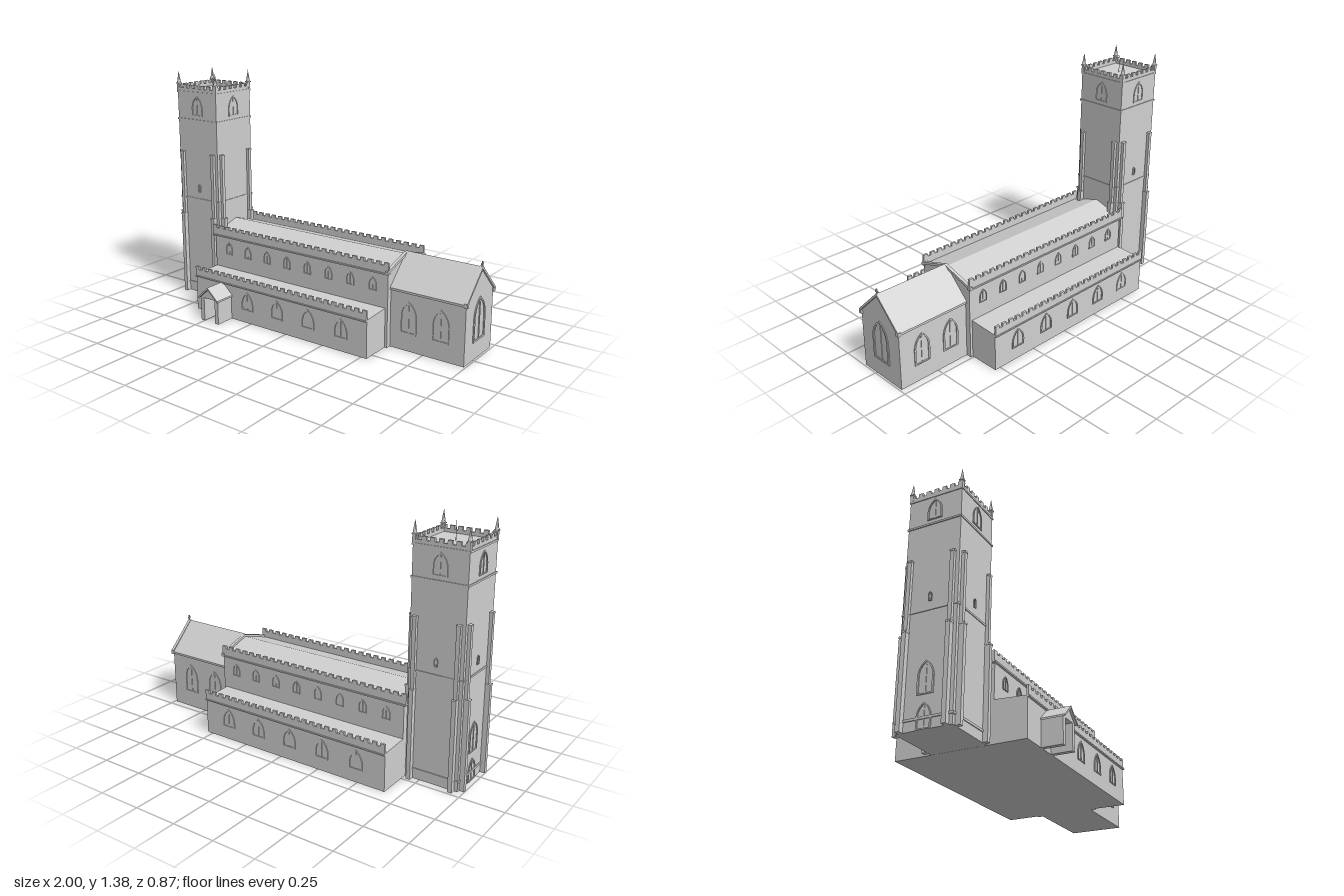
import * as THREE from 'three';

const stone = new THREE.MeshStandardMaterial({ color: 0xd0d0d0 });
stone.name = 'pale stone';

const AXIS = -0.057; // z of the centre line of tower, nave and chancel
const TX = -0.818;   // x of the tower centre

export function createModel() {
  const root = new THREE.Group();
  root.name = 'church';

  function add(name, geo, parent = root) {
    const m = new THREE.Mesh(geo, stone);
    m.name = name;
    parent.add(m);
    return m;
  }
  function box(name, x0, x1, y0, y1, z0, z1, parent = root) {
    const m = add(name, new THREE.BoxGeometry(x1 - x0, y1 - y0, z1 - z0), parent);
    m.position.set((x0 + x1) / 2, (y0 + y1) / 2, (z0 + z1) / 2);
    return m;
  }
  const outline = pts => new THREE.Shape(pts.map(p => new THREE.Vector2(p[0], p[1])));
  const extrude = (shape, depth) =>
    new THREE.ExtrudeGeometry(shape, { depth, bevelEnabled: false, curveSegments: 6 });
  // prism running along x, profile given as [z, y]
  function prismX(name, pts, x0, x1, parent = root) {
    const g = extrude(outline(pts.map(([z, y]) => [-z, y])), x1 - x0);
    g.rotateY(Math.PI / 2);
    g.translate(x0, 0, 0);
    return add(name, g, parent);
  }
  // prism running along z, profile given as [x, y]
  function prismZ(name, pts, z0, z1, parent = root) {
    const g = extrude(outline(pts), z1 - z0);
    g.translate(0, 0, z0);
    return add(name, g, parent);
  }

  // pointed arch outline, sill at y = 0
  function arch(C, w, h) {
    const s = new C(), a = w / 2, sp = h - w * 0.85;
    s.moveTo(-a, 0);
    s.lineTo(a, 0);
    s.lineTo(a, sp);
    s.quadraticCurveTo(a * 0.9, h - w * 0.3, 0, h);
    s.quadraticCurveTo(-a * 0.9, h - w * 0.3, -a, sp);
    return s;
  }
  // window frame with a mullion, standing slightly proud of the wall
  function windowFrame(name, x, y, z, turn, w, h) {
    const g = new THREE.Group();
    g.name = name;
    const s = arch(THREE.Shape, w, h);
    const hole = arch(THREE.Path, w * 0.8, h - w * 0.17);
    s.holes.push(new THREE.Path(hole.getPoints(6).map(p => p.add(new THREE.Vector2(0, w * 0.07)))));
    add('frame', extrude(s, 0.005), g);
    box('mullion', -w * 0.04, w * 0.04, w * 0.05, h * 0.88, 0, 0.003, g);
    g.position.set(x, y, z);
    g.rotation.y = turn;
    root.add(g);
  }
  const south = 0, north = Math.PI, east = Math.PI / 2, west = -Math.PI / 2;

  // battlemented wall along x with merlons
  function battlement(name, x0, x1, y0, yGap, yTop, z0, z1, count, parent = root) {
    const g = new THREE.Group();
    g.name = name;
    box('parapet', x0, x1, y0, yGap, z0, z1, g);
    const step = (x1 - x0) / (count - 0.45);
    for (let i = 0; i < count; i++) {
      const x = x0 + i * step;
      box('merlon', x, x + step * 0.55, yGap, yTop, z0, z1, g);
    }
    parent.add(g);
    return g;
  }

  // ---- tower
  const H = 0.152;
  box('towerShaft', TX - H, TX + H, 0, 1.255, AXIS - H, AXIS + H);
  for (const [y, o, t] of [[0.05, 0.005, 0.012], [0.6, 0.004, 0.01], [1.085, 0.005, 0.01], [1.25, 0.004, 0.01]])
    box('stringCourse', TX - H - o, TX + H + o, y, y + t, AXIS - H - o, AXIS + H + o);
  for (let k = 0; k < 4; k++) {
    const side = new THREE.Group();
    side.name = 'towerSide';
    side.position.set(TX, 0, AXIS);
    side.rotation.y = k * Math.PI / 2;
    root.add(side);
    battlement('towerBattlement', -H, H, 1.255, 1.278, 1.297, H - 0.014, H, 7, side);
    // paired stepped buttresses
    for (const s of [-1, 1]) {
      const b = s * 0.121;
      box('buttressLower', b - 0.012, b + 0.012, 0, 0.5, H - 0.01, H + 0.028, side);
      box('buttressUpper', b - 0.011, b + 0.011, 0.5, 0.885, H - 0.01, H + 0.018, side);
      box('buttressStep', b - 0.014, b + 0.014, 0.498, 0.508, H - 0.01, H + 0.03, side);
      box('buttressCap', b - 0.013, b + 0.013, 0.885, 0.895, H - 0.01, H + 0.02, side);
    }
    // corner pinnacle with knob and spike
    const p = new THREE.Group();
    p.name = 'pinnacle';
    p.position.set(H - 0.006, 0, H - 0.006);
    side.add(p);
    box('pinnacleBase', -0.009, 0.009, 1.255, 1.305, -0.009, 0.009, p);
    box('pinnacleCollar', -0.012, 0.012, 1.3, 1.306, -0.012, 0.012, p);
    const spike = add('pinnacleSpike', new THREE.ConeGeometry(0.012, 0.07, 4), p);
    spike.rotation.y = Math.PI / 4;
    spike.position.y = 1.34;
    // belfry openings
    const a = k * Math.PI / 2;
    windowFrame('belfryWindow', TX + Math.sin(a) * H, 1.115, AXIS + Math.cos(a) * H, a, 0.085, 0.12);
    if (k !== 1)
      windowFrame('towerSlit', TX + Math.sin(a) * H, 0.65, AXIS + Math.cos(a) * H, a, 0.02, 0.05);
  }
  windowFrame('westWindow', TX - H, 0.17, AXIS, west, 0.09, 0.17);
  windowFrame('westDoor', TX - H, 0.0, AXIS, west, 0.08, 0.13);
  const pole = add('flagPole', new THREE.CylinderGeometry(0.0015, 0.0015, 0.11, 6));
  pole.position.set(TX, 1.305, AXIS);

  // ---- nave
  const W = 0.185, x0 = -0.665, x1 = 0.55;
  prismX('naveBody', [[AXIS - W, 0], [AXIS + W, 0], [AXIS + W, 0.425], [AXIS, 0.483], [AXIS - W, 0.425]], x0, x1);
  // low gable coping at the east end
  prismX('naveCoping', [[AXIS - W - 0.012, 0.42], [AXIS, 0.48], [AXIS + W + 0.012, 0.42],
    [AXIS + W + 0.012, 0.434], [AXIS, 0.495], [AXIS - W - 0.012, 0.434]], x1 - 0.012, x1 + 0.006);
  for (const s of [-1, 1]) {
    const z = AXIS + s * W;
    battlement('naveBattlement', x0 - 0.015, x1 + 0.003, 0.42, 0.464, 0.48, z - 0.006, z + 0.006, 25);
    box('naveString', x0 - 0.015, x1 + 0.005, 0.415, 0.423, z - 0.012, z + 0.012);
    for (let i = 0; i < 8; i++)
      windowFrame('clerestoryWindow', -0.56 + i * 0.145, 0.31, z, s > 0 ? south : north, 0.05, 0.075);

    // ---- side aisle
    const zo = AXIS + s * 0.362, e = 0.535;
    const pts = [[z, 0], [zo, 0], [zo, 0.215], [z, 0.225]];
    prismX('aisle', s > 0 ? pts : pts.reverse(), x0, e);
    battlement('aisleBattlement', x0, e, 0.21, 0.25, 0.268, zo - 0.006, zo + 0.006, 25);
    box('aisleString', x0, e, 0.206, 0.213, zo - 0.012, zo + 0.012);
    for (let i = 0; i < 5; i++)
      if (s < 0 || i > 0)
        windowFrame('aisleWindow', -0.49 + i * 0.215, 0.075, zo, s > 0 ? south : north, 0.085, 0.11);
  }

  // ---- chancel
  const C = 0.154, cx = 0.99;
  prismX('chancelBody', [[AXIS - C, 0], [AXIS + C, 0], [AXIS + C, 0.335], [AXIS, 0.488], [AXIS - C, 0.335]], x1 - 0.01, cx);
  const chevron = (w, yLow, yTop, t) => [[AXIS - w, yLow], [AXIS, yTop - t], [AXIS + w, yLow],
    [AXIS + w, yLow + t], [AXIS, yTop], [AXIS - w, yLow + t]];
  prismX('chancelRoof', chevron(C + 0.009, 0.326, 0.5, 0.012), x1 - 0.005, cx);
  prismX('chancelCoping', chevron(C + 0.009, 0.33, 0.503, 0.016), cx - 0.008, 1);
  for (const s of [-1, 1]) {
    const z = AXIS + s * C;
    box('kneeler', cx - 0.008, 1, 0.322, 0.342, z - 0.01, z + 0.01);
    for (const x of [0.66, 0.85])
      windowFrame('chancelWindow', x, 0.1, z, s > 0 ? south : north, 0.1, 0.18);
  }
  windowFrame('eastWindow', cx, 0.1, AXIS, east, 0.13, 0.24);
  box('crossShaft', 0.991, 0.997, 0.495, 0.528, AXIS - 0.003, AXIS + 0.003);
  box('crossArm', 0.991, 0.997, 0.511, 0.518, AXIS - 0.01, AXIS + 0.01);

  // ---- porch
  const px = -0.46, pz = 0.305;
  for (const s of [-1, 1]) {
    const x = px + s * 0.0525;
    box('porchWall', x - 0.0125, x + 0.0125, 0, 0.143, pz, 0.42);
  }
  prismZ('porchGable', [[px - 0.065, 0.14], [px + 0.065, 0.14], [px, 0.2]], pz, 0.42);
  prismZ('porchRoof', [[px - 0.072, 0.135], [px, 0.2], [px + 0.072, 0.135],
    [px + 0.072, 0.145], [px, 0.212], [px - 0.072, 0.145]], pz, 0.434);
  box('porchDoor', px - 0.035, px + 0.035, 0.03, 0.14, pz, pz + 0.006);

  return root;
}
